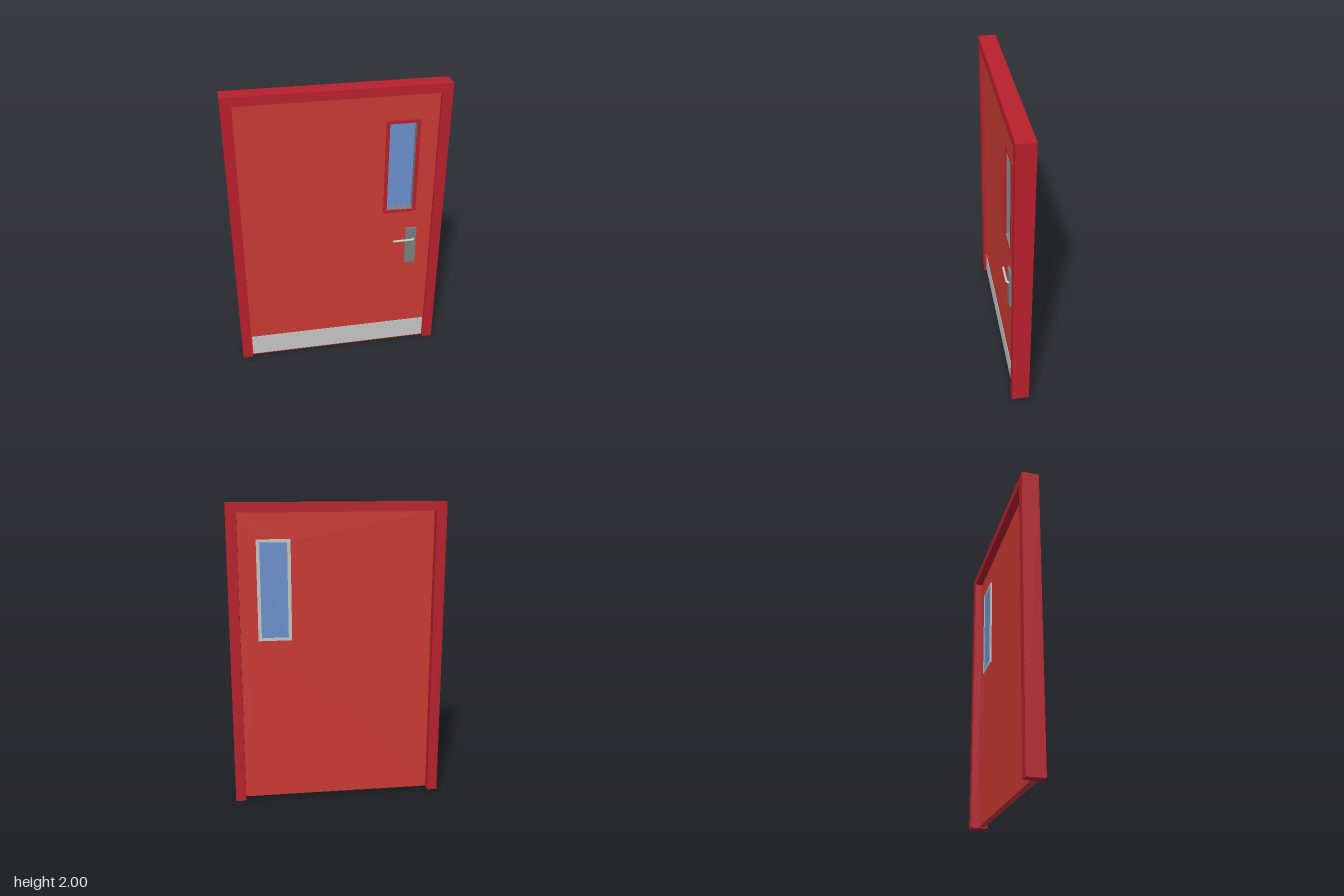
import * as THREE from 'three';

// Closed rectangle outline, optionally with rounded corners
function rect(x0, y0, x1, y1, r = 0, Type = THREE.Shape) {
  const s = new Type();
  s.moveTo(x0 + r, y0);
  s.lineTo(x1 - r, y0);
  if (r) s.quadraticCurveTo(x1, y0, x1, y0 + r);
  s.lineTo(x1, y1 - r);
  if (r) s.quadraticCurveTo(x1, y1, x1 - r, y1);
  s.lineTo(x0 + r, y1);
  if (r) s.quadraticCurveTo(x0, y1, x0, y1 - r);
  s.lineTo(x0, y0 + r);
  if (r) s.quadraticCurveTo(x0, y0, x0 + r, y0);
  return s;
}

function material(name, color) {
  const m = new THREE.MeshStandardMaterial({ color });
  m.name = name;
  return m;
}

export function createModel() {
  const group = new THREE.Group();
  const frameRed = material('frame red', 0xb8202d);
  const doorRed = material('door red', 0xcb3a33);
  const lightSteel = material('light steel', 0xc6c6c6);
  const darkSteel = material('dark steel', 0x7c7f7d);
  const glassBlue = material('glass blue', 0x6c90cd);

  const add = (name, geometry, mat) => {
    const mesh = new THREE.Mesh(geometry, mat);
    mesh.name = name;
    group.add(mesh);
    return mesh;
  };
  // Flat plate between two depths
  const plate = (name, shape, z0, z1, mat) => {
    const g = new THREE.ExtrudeGeometry(shape, { depth: z1 - z0, bevelEnabled: false, curveSegments: 5 });
    return add(name, g.translate(0, 0, z0), mat);
  };
  // Plate with a rectangular opening
  const ring = (outer, x0, y0, x1, y1) => {
    outer.holes.push(rect(x0, y0, x1, y1, 0, THREE.Path));
    return outer;
  };

  // Frame: two jambs and a head in one outline
  const W = 0.705, I = 0.637, TOP = 1.942;
  const outline = [[-W, 0], [-I, 0], [-I, TOP], [I, TOP], [I, 0], [W, 0], [W, 2], [-W, 2]];
  plate('frame', new THREE.Shape(outline.map(([x, y]) => new THREE.Vector2(x, y))), -0.065, 0.05, frameRed);

  // Door leaf with window opening
  const FRONT = 0.03, BACK = -0.012;
  const win = [0.322, 1.132, 0.498, 1.752];
  const [wx0, wy0, wx1, wy1] = win;
  plate('doorLeaf', ring(rect(-I + 0.001, 0.006, I - 0.001, TOP - 0.001), wx0 - 0.004, wy0 - 0.004, wx1 + 0.004, wy1 + 0.004),
    BACK, FRONT, doorRed);

  // Window: front bead, lining, pane and rear trim
  plate('windowBead', ring(rect(0.3, 1.112, 0.52, 1.772, 0.015), ...win), FRONT, FRONT + 0.007, frameRed);
  plate('windowLining', ring(rect(wx0 - 0.004, wy0 - 0.004, wx1 + 0.004, wy1 + 0.004), ...win),
    BACK - 0.003, FRONT + 0.006, darkSteel);
  plate('windowRearTrim', ring(rect(0.3, 1.112, 0.52, 1.772), ...win), BACK - 0.01, BACK, lightSteel);
  plate('windowPane', rect(...win), BACK - 0.007, BACK - 0.001, glassBlue);

  // Kick plate
  plate('kickPlate', rect(-0.631, 0.014, 0.631, 0.172, 0.008), FRONT, FRONT + 0.003, lightSteel);

  // Lock plate
  plate('lockPlate', rect(0.46, 0.7, 0.535, 0.98, 0.006), FRONT, FRONT + 0.014, darkSteel);

  // Lever handle: short spindle, tight bend, straight grip
  const y = 0.894, zGrip = 0.058, r = 0.0075;
  const path = new THREE.CurvePath();
  const p = (x, z) => new THREE.Vector3(x, y, z);
  path.add(new THREE.LineCurve3(p(0.515, FRONT + 0.01), p(0.515, 0.046)));
  path.add(new THREE.QuadraticBezierCurve3(p(0.515, 0.046), p(0.513, zGrip), p(0.498, zGrip)));
  path.add(new THREE.LineCurve3(p(0.498, zGrip), p(0.372, zGrip)));
  add('leverHandle', new THREE.TubeGeometry(path, 48, r, 12), lightSteel);
  const cap = new THREE.CircleGeometry(r, 12).rotateY(-Math.PI / 2).translate(0.372, y, zGrip);
  add('leverHandleEnd', cap, lightSteel);

  return group;
}
